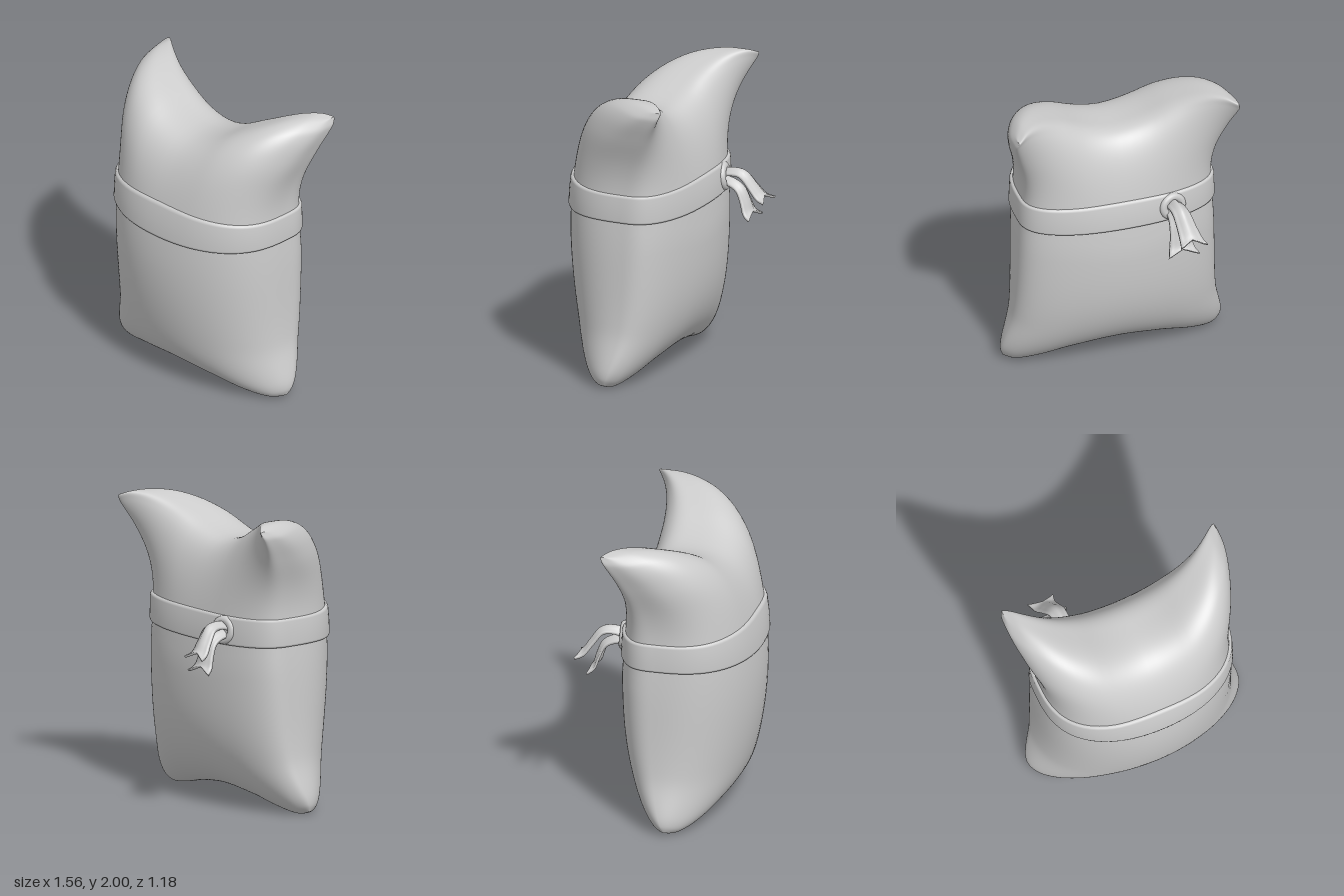
import * as THREE from 'three';
import { mergeVertices } from 'three/addons/utils/BufferGeometryUtils.js';

const material = new THREE.MeshStandardMaterial({ color: 0xcccccc, roughness: 0.8, side: THREE.DoubleSide });

// Smooth interpolation through [x, y] points
function spline(pts) {
  const slope = (i) => {
    const a = pts[Math.max(i - 1, 0)], b = pts[Math.min(i + 1, pts.length - 1)];
    return (b[1] - a[1]) / (b[0] - a[0]);
  };
  return (x) => {
    let i = 0;
    while (i < pts.length - 2 && x > pts[i + 1][0]) i++;
    const [x0, y0] = pts[i], [x1, y1] = pts[i + 1], h = x1 - x0, t = (x - x0) / h;
    const t2 = t * t, t3 = t2 * t;
    return (2 * t3 - 3 * t2 + 1) * y0 + (t3 - 2 * t2 + t) * h * slope(i)
      + (3 * t2 - 2 * t3) * y1 + (t3 - t2) * h * slope(i + 1);
  };
}

// Skin over rows of points; each row is a closed loop
function loft(rows) {
  const n = rows[0].length, pos = [], index = [];
  rows.forEach((row) => row.forEach((p) => pos.push(p.x, p.y, p.z)));
  for (let j = 0; j < rows.length - 1; j++) {
    for (let i = 0; i < n; i++) {
      const k = (i + 1) % n;
      const a = j * n + i, b = j * n + k, c = a + n, d = b + n;
      index.push(a, b, d, a, d, c);
    }
  }
  let g = new THREE.BufferGeometry();
  g.setAttribute('position', new THREE.Float32BufferAttribute(pos, 3));
  g.setIndex(index);
  g = mergeVertices(g, 1e-5);
  g.computeVertexNormals();
  return g;
}

// Outlines of the pillow: half width by height, top and bottom edges by width
const halfWidth = spline([[-1, 0.742], [-0.95, 0.76], [-0.88, 0.757], [-0.62, 0.70], [0, 0.673], [0.37, 0.652],
  [0.55, 0.672], [0.77, 0.737], [0.94, 0.78], [1, 0.766]]);
const topEdge = spline([[-0.25, 1.81], [0, 1.77], [0.25, 1.81], [0.5, 1.905], [0.75, 1.985], [0.9, 2.0], [1, 1.972]]);
const bottomEdge = spline([[-0.4, 0.07], [0, 0.1], [0.4, 0.07], [0.7, 0.02], [0.9, 0.0], [1, 0.022]]);

// Middle sheet of the pillow, with the upper corners swept backwards
function sheetZ(u, v) {
  return v < 0 ? 0.1 * v ** 4 : 0.05 * v - 0.36 * Math.abs(u * v) ** 3;
}

// Point on the pillow: u across, v up, side +1 front or -1 back
function pillowPoint(u, v, side) {
  const au = Math.abs(u);
  // Fuller at the upper corners, more pointed at the lower ones
  const taper = 0.36 - 0.09 * v + (v < 0 ? 0.1 * v ** 4 : 0);
  const puff = Math.max(0, 1 - u * u) ** taper * Math.max(0, 1 - v * v) ** 0.28;
  const depth = side > 0 ? 0.588 - 0.06 * Math.max(0, v) : 0.32;
  return new THREE.Vector3(
    u * halfWidth(v),
    THREE.MathUtils.lerp(bottomEdge(au), topEdge(au), (v + 1) / 2),
    sheetZ(u, v) + side * depth * puff);
}

// Sampling that crowds towards the seam
const ease = (t) => Math.sign(t) * (1 - (1 - Math.abs(t)) ** 3);

// Loop round the pillow: front from right to left, then back again
function ring(n, fn) {
  const pts = [];
  for (let i = 0; i < n; i++) pts.push(fn(ease(-1 + 2 * i / n), 1));
  for (let i = 0; i < n; i++) pts.push(fn(ease(1 - 2 * i / n), -1));
  return pts;
}

function pillowGeometry() {
  const rows = [], m = 72;
  for (let j = 0; j <= m; j++) {
    const v = ease(-1 + 2 * j / m);
    rows.push(ring(64, (u, side) => pillowPoint(u, v, side)));
  }
  return loft(rows);
}

// Strap following the pillow, pushed out along the outline of each level
function strapGeometry() {
  const profile = [[-0.03, 0], [0.0, 0], [0.012, 0.02], [0.018, 0.09], [0.02, 0.5],
    [0.02, 0.91], [0.014, 0.98], [0.0, 1], [-0.03, 1]];
  const rows = profile.map(([out, h]) => {
    const loop = ring(48, (u, side) => {
      const au = Math.abs(u), lo = bottomEdge(au), hi = topEdge(au);
      const bow = 1 - au * au;
      const top = 1.33 + (side > 0 ? 0.04 : -0.005) * bow;
      const y = THREE.MathUtils.lerp(1.14 - 0.01 * bow, top, h);
      return pillowPoint(u, 2 * (y - lo) / (hi - lo) - 1, side);
    });
    const n = loop.length;
    return loop.map((p, i) => {
      const a = loop[(i + n - 1) % n], b = loop[(i + 1) % n];
      const dx = b.x - a.x, dz = b.z - a.z, len = Math.hypot(dx, dz) || 1;
      return new THREE.Vector3(p.x - out * dz / len, p.y, p.z + out * dx / len);
    });
  });
  return loft(rows);
}

// Flared ribbon end with a lengthwise fold and a notched tip
function tailGeometry(points, w0, w1) {
  const path = new THREE.CatmullRomCurve3(points.map((p) => new THREE.Vector3(...p)));
  const rows = [], steps = 20, across = 8, side = new THREE.Vector3(1, 0, 0);
  for (let j = 0; j <= steps + 1; j++) {
    const t = Math.min(j / steps, 1), thick = j > steps ? 0 : 0.008;
    const point = (w, sign) => {
      const s = t * (1 - 0.16 * (1 - Math.abs(w)));
      const tan = path.getTangent(s);
      const normal = side.clone().cross(tan).normalize();
      const fold = 0.018 * Math.cos(Math.PI * w) * (1 - 0.4 * t);
      return path.getPoint(s)
        .addScaledVector(side, w * THREE.MathUtils.lerp(w0, w1, t * t))
        .addScaledVector(normal, fold + sign * thick);
    };
    const row = [];
    for (let i = 0; i <= across; i++) row.push(point(-1 + 2 * i / across, 1));
    for (let i = across; i >= 0; i--) row.push(point(-1 + 2 * i / across, -1));
    rows.push(row);
  }
  return loft(rows);
}

export function createModel() {
  const model = new THREE.Group();
  model.name = 'strappedPillow';
  const add = (name, geometry, parent = model) => {
    const mesh = new THREE.Mesh(geometry, material);
    mesh.name = name;
    parent.add(mesh);
    return mesh;
  };

  add('pillow', pillowGeometry());
  add('strap', strapGeometry());

  // Knot on the back of the strap
  const knot = new THREE.Group();
  knot.name = 'knot';
  model.add(knot);
  const loop = add('knotLoop', new THREE.TorusGeometry(0.068, 0.028, 14, 36), knot);
  loop.position.set(-0.315, 1.232, -0.287);
  loop.rotation.set(0.1, 0.2, 0);
  loop.scale.z = 0.9;
  add('upperTail', tailGeometry([[-0.315, 1.25, -0.25], [-0.32, 1.275, -0.34], [-0.33, 1.265, -0.42],
    [-0.35, 1.18, -0.49], [-0.365, 1.115, -0.54], [-0.37, 1.095, -0.59]], 0.05, 0.092), knot);
  add('lowerTail', tailGeometry([[-0.315, 1.215, -0.25], [-0.316, 1.205, -0.34], [-0.317, 1.165, -0.41],
    [-0.32, 1.08, -0.45], [-0.322, 1.01, -0.475], [-0.325, 0.98, -0.515]], 0.05, 0.108), knot);

  return model;
}
